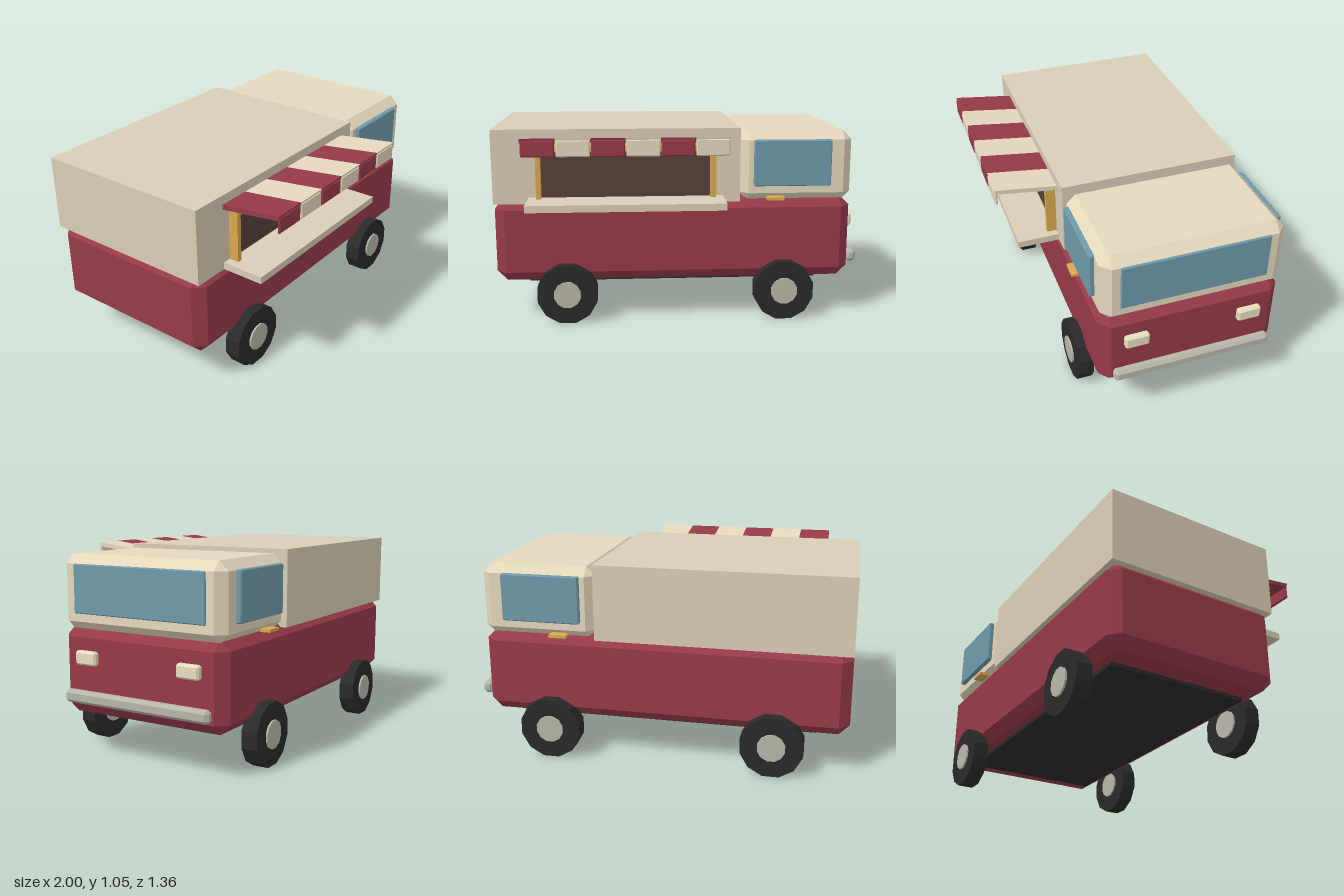
import * as THREE from 'three';
import { ConvexGeometry } from 'three/addons/geometries/ConvexGeometry.js';

const material = (color, extra = {}) => new THREE.MeshStandardMaterial({ color, flatShading: true, ...extra });
const red = material(0x963a48);
const cream = material(0xe5d8bc);
const boxCream = material(0xd9cdb5);
const glass = material(0x6f9aaa);
const wood = material(0xd9a94f);
const brown = material(0x574039);
const black = material(0x2b2a2a);
const metal = material(0xb8b6a8);
const lamp = material(0xe8dfbe);

// Box between two bounds whose edges and corners are cut by a flat chamfer
function chamferBox([x0, x1], [y0, y1], [z0, z1], c) {
  const points = [];
  for (const x of [x0, x1]) for (const y of [y0, y1]) for (const z of [z0, z1]) {
    const ix = x === x0 ? x + c : x - c;
    const iy = y === y0 ? y + c : y - c;
    const iz = z === z0 ? z + c : z - c;
    points.push(new THREE.Vector3(x, iy, iz), new THREE.Vector3(ix, y, iz), new THREE.Vector3(ix, iy, z));
  }
  return new ConvexGeometry(points);
}

function plainBox([x0, x1], [y0, y1], [z0, z1]) {
  return new THREE.BoxGeometry(x1 - x0, y1 - y0, z1 - z0)
    .translate((x0 + x1) / 2, (y0 + y1) / 2, (z0 + z1) / 2);
}

// Twelve-sided disc on the z axis, with a flat resting at the bottom
function disc(radius, width) {
  return new THREE.CylinderGeometry(radius, radius, width, 12, 1, false, Math.PI / 12).rotateX(Math.PI / 2);
}

export function createModel() {
  const model = new THREE.Group();
  model.name = 'foodTruck';
  // The truck is built symmetric about its own centreline, then shifted to make room for the awning
  const truck = new THREE.Group();
  truck.name = 'truck';
  truck.position.z = -0.13;
  model.add(truck);

  const add = (name, geometry, mat, parent = truck) => {
    const mesh = new THREE.Mesh(geometry, mat);
    mesh.name = name;
    parent.add(mesh);
    return mesh;
  };

  // Main volumes
  add('lowerBody', chamferBox([-1, 0.94], [0.22, 0.675], [-0.485, 0.485], 0.055), red);
  add('cab', chamferBox([0.325, 0.94], [0.65, 1.035], [-0.477, 0.477], 0.048), cream);
  add('kitchenBox', plainBox([-1, 0.325], [0.655, 1.055], [-0.485, 0.485]), boxCream);
  add('underside', plainBox([-0.83, 0.77], [0.2, 0.225], [-0.39, 0.39]), black);

  // Nose: windscreen, bumper
  add('windscreen', chamferBox([0.93, 0.95], [0.74, 0.988], [-0.387, 0.387], 0.005), glass);
  add('bumper', chamferBox([0.942, 0.995], [0.29, 0.355], [-0.427, 0.427], 0.015), metal);

  // Parts mirrored on both sides
  for (const side of [1, -1]) {
    const label = side > 0 ? 'Front' : 'Back';
    const span = (a, b) => (side > 0 ? [a, b] : [-b, -a]);
    add('sideWindow' + label, chamferBox([0.4, 0.82], [0.74, 0.99], span(0.47, 0.502), 0.005), glass);
    add('doorHandle' + label, plainBox([0.47, 0.565], [0.665, 0.68], span(0.46, 0.515)), wood);
    add('headlight' + label, chamferBox([0.937, 0.977], [0.485, 0.557], span(0.24, 0.367), 0.01), lamp);

    for (const x of [-0.615, 0.57]) {
      const wheel = new THREE.Group();
      wheel.name = (x > 0 ? 'noseWheel' : 'tailWheel') + label;
      wheel.position.set(x, 0.162, side * 0.4975);
      add('tyre', disc(0.167, 0.085), black, wheel);
      add('hub', disc(0.074, 0.105), metal, wheel);
      truck.add(wheel);
    }
  }

  // Serving hatch with a timber surround and a counter
  add('hatchOpening', plainBox([-0.75, 0.17], [0.68, 0.95], [0.48, 0.491]), brown);
  add('hatchPostTail', plainBox([-0.765, -0.74], [0.645, 0.985], [0.485, 0.537]), wood);
  add('hatchPostNose', plainBox([0.16, 0.19], [0.645, 0.985], [0.485, 0.537]), wood);
  add('hatchLintel', plainBox([-0.74, 0.16], [0.94, 0.97], [0.485, 0.537]), wood);
  add('counter', plainBox([-0.81, 0.23], [0.655, 0.692], [0.485, 0.71]), boxCream);

  // Striped awning, tilted up and outwards, with a hanging flap on each stripe
  const awning = new THREE.Group();
  awning.name = 'awning';
  truck.add(awning);
  const profile = new THREE.Shape([[0.48, 0.981], [0.805, 1.024], [0.81, 1.048], [0.48, 1.006]]
    .map(([z, y]) => new THREE.Vector2(-z, y)));
  const stripe = 1.04 / 6;
  for (let i = 0; i < 6; i++) {
    const x = -0.81 + i * stripe;
    const mat = i % 2 ? cream : red;
    const cloth = new THREE.ExtrudeGeometry(profile, { depth: stripe, bevelEnabled: false })
      .rotateY(Math.PI / 2).translate(x, 0, 0);
    add('awningStripe', cloth, mat, awning);
    add('awningFlap', chamferBox([x + 0.003, x + stripe - 0.003], [0.955, 1.04], [0.797, 0.812], 0.006), mat, awning);
  }
  return model;
}
